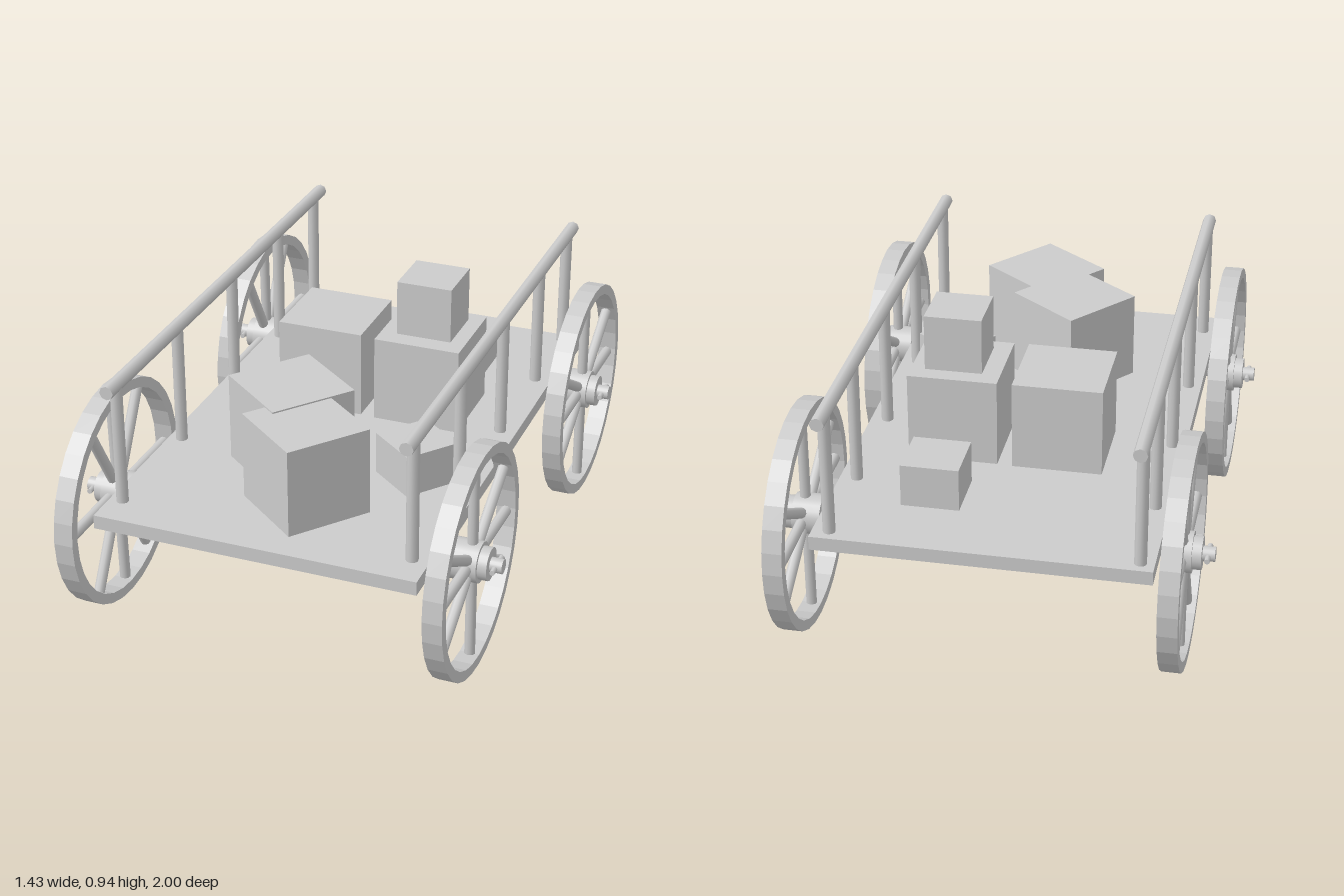
import * as THREE from 'three';

const grey = new THREE.MeshStandardMaterial({ color: 0xcccccc });
const faceted = new THREE.MeshStandardMaterial({ color: 0xcccccc, flatShading: true });

function add(parent, name, geometry, x, y, z, material = grey) {
  const mesh = new THREE.Mesh(geometry, material);
  mesh.name = name;
  mesh.position.set(x, y, z);
  parent.add(mesh);
  return mesh;
}

// Wheel in the XY plane with its outer face toward +z
function makeWheel(name, turn) {
  const wheel = new THREE.Group();
  wheel.name = name;
  const spin = new THREE.Group();
  spin.name = name + 'Spokes';
  spin.rotation.z = turn;
  wheel.add(spin);

  // Rim: closed rectangular section turned round the hub
  const section = [[0.345, -0.032], [0.38, -0.032], [0.38, 0.032], [0.345, 0.032], [0.345, -0.032]];
  const rim = new THREE.LatheGeometry(section.map(([r, h]) => new THREE.Vector2(r, h)), 32);
  add(wheel, 'rim', rim, 0, 0, 0, faceted).rotation.x = Math.PI / 2;

  // Spokes: four lines through the hub
  for (const degrees of [0, 60, 88, 120]) {
    for (const half of [0, 180]) {
      const a = THREE.MathUtils.degToRad(degrees + half);
      const spoke = add(spin, 'spoke', new THREE.CylinderGeometry(0.018, 0.018, 0.31, 10),
        Math.cos(a) * 0.2, Math.sin(a) * 0.2, 0);
      spoke.rotation.z = a - Math.PI / 2;
    }
  }

  // Hub: wide inner collar, narrower outer collar, axle end and linchpin
  const hubPart = (part, radius, from, to) => {
    add(wheel, part, new THREE.CylinderGeometry(radius, radius, to - from, 20), 0, 0, (from + to) / 2)
      .rotation.x = Math.PI / 2;
  };
  hubPart('innerCollar', 0.067, -0.06, 0.032);
  hubPart('outerCollar', 0.054, 0.03, 0.062);
  hubPart('axleEnd', 0.024, 0.06, 0.102);
  add(wheel, 'linchpin', new THREE.CylinderGeometry(0.009, 0.009, 0.1, 8), 0, 0, 0.08)
    .rotation.z = Math.PI / 2;
  return wheel;
}

export function createModel() {
  const cart = new THREE.Group();
  cart.name = 'cart';

  // Platform
  add(cart, 'deck', new THREE.BoxGeometry(1.08, 0.047, 1.775), -0.013, 0.434, 0.018);

  // Axles and wheels
  for (const [end, z] of [['front', 0.618], ['back', -0.618]]) {
    add(cart, end + 'Axle', new THREE.CylinderGeometry(0.023, 0.023, 1.2, 14), -0.003, 0.387, z)
      .rotation.z = Math.PI / 2;
    for (const [side, x, s] of [['Left', 0.608, 1], ['Right', -0.615, -1]]) {
      const wheel = makeWheel(end + side + 'Wheel', s > 0 ? Math.PI / 2 : 0);
      wheel.position.set(x, 0.385, z);
      wheel.rotation.y = s * Math.PI / 2;
      cart.add(wheel);
    }
  }

  // Side rails on posts
  for (const [side, x] of [['left', 0.471], ['right', -0.508]]) {
    add(cart, side + 'Rail', new THREE.CylinderGeometry(0.023, 0.023, 1.755, 8), x, 0.874, -0.022)
      .rotation.x = Math.PI / 2;
    for (const z of [0.79, 0.35, -0.085, -0.49, -0.825]) {
      add(cart, side + 'Post', new THREE.CylinderGeometry(0.02, 0.02, 0.42, 10), x, 0.66, z);
    }
  }

  // Load of crates: x, z, width, bottom, top, turn
  const crates = [
    [-0.158, -0.172, 0.298, 0.455, 0.758, 0],
    [0.19, -0.168, 0.298, 0.455, 0.755, 0],
    [0.195, -0.172, 0.19, 0.76, 0.95, 0],
    [0.195, -0.535, 0.19, 0.455, 0.602, 0],
    [-0.093, 0.381, 0.298, 0.46, 0.76, -0.67],
    [0.046, 0.598, 0.293, 0.455, 0.755, -0.67],
    [0.312, 0.31, 0.19, 0.455, 0.6, -0.67],
  ];
  for (const [x, z, width, bottom, top, turn] of crates) {
    add(cart, 'crate', new THREE.BoxGeometry(width, top - bottom, width), x, (bottom + top) / 2, z)
      .rotation.y = turn;
  }
  return cart;
}
